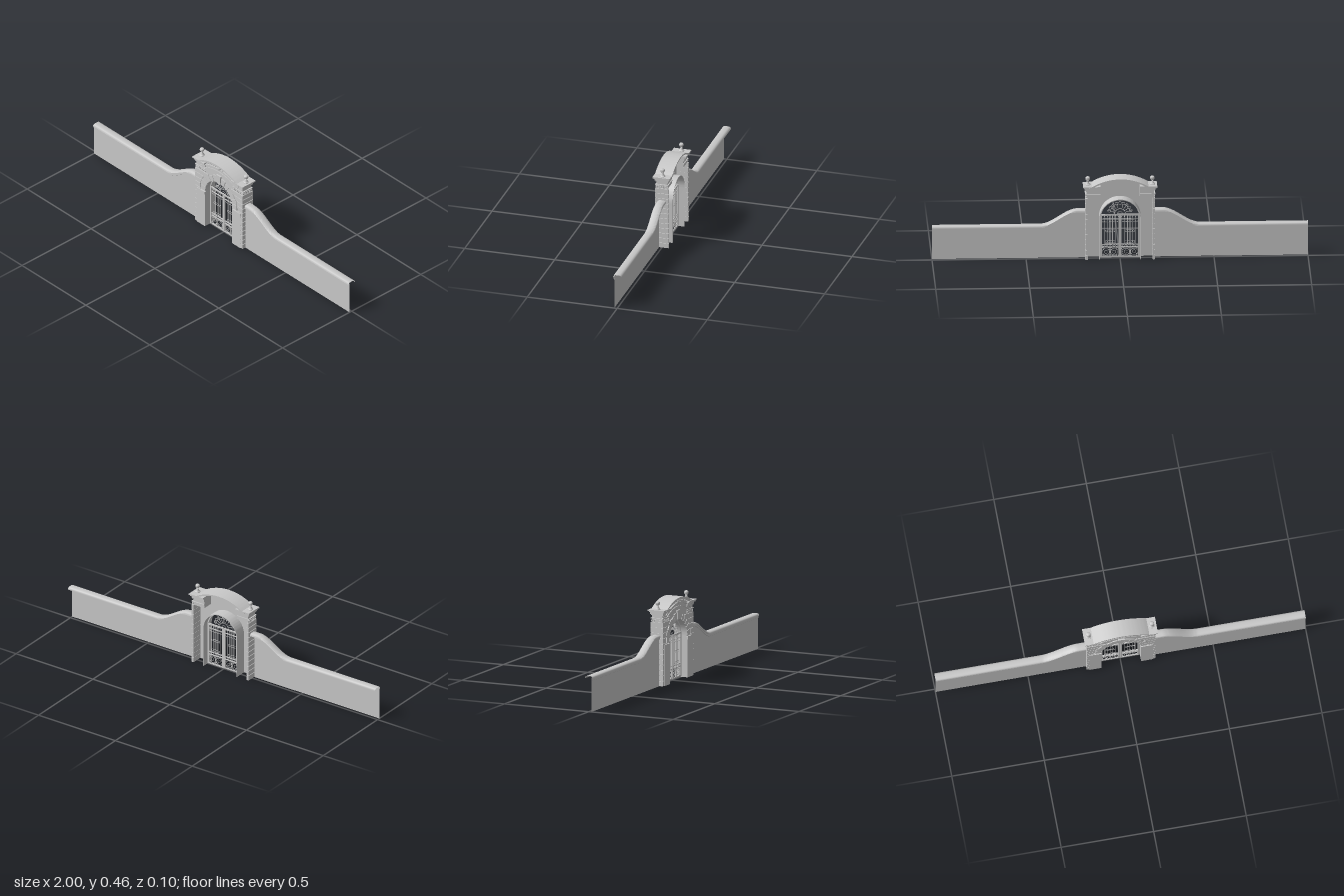
import * as THREE from 'three';
import { toCreasedNormals } from 'three/addons/utils/BufferGeometryUtils.js';

const stone = new THREE.MeshStandardMaterial({ color: 0xc8c8c8, side: THREE.DoubleSide });
stone.name = 'pale grey stone';

const COURSE = 0.345 / 12;          // height of one stone course
const R = 0.107, CY = 0.226;        // gateway arch radius and springing height
const FRONT = 0.037;                // front face of the stonework
const PR = 0.29, PY = 0.453 - PR;   // pediment arc radius and centre height

export function createModel() {
  const model = new THREE.Group();
  model.name = 'walledGateway';
  const group = (name) => {
    const g = new THREE.Group();
    g.name = name;
    model.add(g);
    return g;
  };
  const add = (parent, name, geo) => {
    const m = new THREE.Mesh(geo, stone);
    m.name = name;
    parent.add(m);
    return m;
  };
  // box given by its limits on each axis
  const box = (parent, name, x0, x1, y0, y1, z0, z1) => {
    const m = add(parent, name, new THREE.BoxGeometry(Math.abs(x1 - x0), y1 - y0, z1 - z0));
    m.position.set((x0 + x1) / 2, (y0 + y1) / 2, (z0 + z1) / 2);
    return m;
  };
  // flat outline pushed from z0 to z1
  const slab = (parent, name, shape, z0, z1) => {
    const geo = new THREE.ExtrudeGeometry(shape, { depth: z1 - z0, bevelEnabled: false, curveSegments: 24 });
    geo.translate(0, 0, z0);
    return add(parent, name, toCreasedNormals(geo, 0.5));
  };
  const poly = (pts) => new THREE.Shape(pts.map(([x, y]) => new THREE.Vector2(x, y)));
  // ring sector about (0, cy), angles measured from +x
  const sector = (r0, r1, a0, a1, cy) => {
    const s = new THREE.Shape();
    s.absarc(0, cy, r1, a0, a1, false);
    s.absarc(0, cy, r0, a1, a0, true);
    return s;
  };

  // ---------- garden walls with swept coping ----------
  const copingTop = (x) => {
    const t = THREE.MathUtils.clamp((x - 0.225) / 0.2, 0, 1);
    return 0.277 - 0.084 * t * t * (3 - 2 * t);
  };
  const stations = [0.183];
  for (let i = 0; i <= 24; i++) stations.push(0.225 + 0.2 * i / 24);
  stations.push(1);
  // coping section as [z, drop below the top]
  const section = [[0.016, 0.026], [0.019, 0.024], [0.019, 0.014], [0.023, 0.013], [0.023, 0.008], [0.019, 0.003],
    [0.011, 0], [-0.011, 0], [-0.019, 0.003], [-0.023, 0.008], [-0.023, 0.014]];
  for (const s of [1, -1]) {
    const g = group(s > 0 ? 'leftWall' : 'rightWall');
    const outline = [[s * 0.183, 0], ...stations.map((x) => [s * x, copingTop(x) - 0.006]), [s, 0]];
    add(g, 'wallFace', new THREE.ShapeGeometry(poly(outline))).position.z = 0.016;
    const pos = [], idx = [], n = section.length;
    stations.forEach((x, i) => section.forEach(([z, d], j) => {
      pos.push(s * x, copingTop(x) - d, z);
      if (i && j) {
        const a = (i - 1) * n + j - 1, b = a + n;
        if (s > 0) idx.push(a, b, a + 1, b, b + 1, a + 1);
        else idx.push(a, a + 1, b, b, a + 1, b + 1);
      }
    }));
    const geo = new THREE.BufferGeometry();
    geo.setAttribute('position', new THREE.Float32BufferAttribute(pos, 3));
    geo.setIndex(idx);
    add(g, 'coping', toCreasedNormals(geo, 0.7));
  }

  // ---------- front plate and arch lining, open at the back ----------
  const facade = group('facade');
  const plate = new THREE.Shape();
  plate.moveTo(R, 0);
  plate.lineTo(0.182, 0);
  plate.lineTo(0.182, 0.36);
  plate.lineTo(0.16, 0.395);
  const end = Math.asin(0.155 / PR);
  plate.absarc(0, PY, PR - 0.01, Math.PI / 2 - end, Math.PI / 2 + end, false);
  plate.lineTo(-0.16, 0.395);
  plate.lineTo(-0.182, 0.36);
  plate.lineTo(-0.182, 0);
  plate.lineTo(-R, 0);
  plate.absarc(0, CY, R, Math.PI, 0, true);
  slab(facade, 'frontPlate', plate, 0.028, 0.033);
  const lining = new THREE.Shape();
  lining.moveTo(R, 0);
  lining.lineTo(R + 0.004, 0);
  lining.absarc(0, CY, R + 0.004, 0, Math.PI, false);
  lining.lineTo(-R - 0.004, 0);
  lining.lineTo(-R, 0);
  lining.absarc(0, CY, R, Math.PI, 0, true);
  slab(facade, 'archLining', lining, -FRONT, 0.033);

  // ---------- rusticated piers ----------
  for (const s of [1, -1]) {
    const g = group(s > 0 ? 'leftPier' : 'rightPier');
    box(g, 'sideBacking', s * 0.174, s * 0.182, 0, 0.345, -0.034, 0.033);
    for (let i = 0; i < 12; i++) {
      const y0 = i * COURSE + 0.0015, y1 = (i + 1) * COURSE - 0.0015;
      box(g, 'sideBlock', s * 0.173, s * 0.186, y0, y1, -FRONT, FRONT);
      if (i < 8) {
        box(g, 'quoin', s * (i % 2 ? 0.145 : 0.158), s * 0.186, y0, y1, 0.03, FRONT);
      } else {
        // course cut to the curve of the voussoirs
        const inner = (y) => Math.sqrt(0.149 ** 2 - (y - CY) ** 2);
        slab(g, 'frontBlock', poly([[s * inner(y0), y0], [s * 0.186, y0], [s * 0.186, y1], [s * inner(y1), y1]]), 0.03, FRONT);
      }
    }
    box(g, 'smoothPilaster', s * R, s * 0.171, 0, 0.205, 0.032, 0.04);
    box(g, 'impost', s * R, s * 0.171, 0.205, 0.222, 0.032, 0.041);

    // capital: stacked mouldings with dentils, x reach, y limits, half depth
    for (const [x, y0, y1, z] of [[0.18, 0.345, 0.362, 0.031], [0.187, 0.362, 0.367, 0.035], [0.179, 0.367, 0.382, 0.03],
      [0.183, 0.382, 0.388, 0.034], [0.187, 0.388, 0.398, 0.037], [0.192, 0.398, 0.404, 0.042], [0.197, 0.404, 0.411, 0.047]]) {
      box(g, 'capitalMoulding', s * 0.105, s * x, y0, y1, -z, z + 0.002);
    }
    for (let i = 0; i < 6; i++) {
      const z = -0.03 + i * 0.012, x = 0.112 + i * 0.0125;
      box(g, 'sideDentil', s * 0.178, s * 0.185, 0.348, 0.357, z - 0.004, z + 0.004);
      box(g, 'frontDentil', s * (x - 0.004), s * (x + 0.004), 0.348, 0.357, 0.03, 0.036);
    }

    // ball finial
    const profile = [[0.015, 0], [0.015, 0.003], [0.012, 0.005], [0.007, 0.012], [0.005, 0.02], [0.007, 0.022], [0.005, 0.024]]
      .map(([r, y]) => new THREE.Vector2(r, y));
    for (let i = 1; i <= 10; i++) {
      const a = 0.42 + (Math.PI - 0.42) * i / 10;
      profile.push(new THREE.Vector2(Math.max(0, 0.0125 * Math.sin(a)), 0.0345 - 0.0125 * Math.cos(a)));
    }
    add(g, 'ballFinial', toCreasedNormals(new THREE.LatheGeometry(profile, 20), 0.7)).position.set(s * 0.172, 0.411, 0);
  }

  // ---------- voussoirs and keystone ----------
  const arch = group('archStones');
  const COUNT = 13;
  for (let i = 0; i < COUNT; i++) {
    const a0 = Math.PI * i / COUNT + 0.012, a1 = Math.PI * (i + 1) / COUNT - 0.012;
    const key = i === (COUNT - 1) / 2;
    slab(arch, key ? 'keystone' : 'voussoir', sector(R, key ? 0.157 : i % 2 ? 0.146 : 0.14, a0, a1, CY), 0.03, key ? 0.042 : FRONT + 0.001);
  }

  // ---------- segmental pediment ----------
  const pediment = group('pediment');
  const half = Math.asin(0.165 / PR);
  const arcBand = (name, r0, r1, z0, z1) =>
    slab(pediment, name, sector(r0, r1, Math.PI / 2 - half, Math.PI / 2 + half, PY), z0, z1);
  arcBand('archedRoof', PR - 0.008, PR, -0.047, 0.048);
  arcBand('upperArchMoulding', PR - 0.014, PR - 0.008, 0.028, 0.043);
  arcBand('lowerArchMoulding', PR - 0.034, PR - 0.028, 0.028, 0.04);
  arcBand('innerArchMoulding', PR - 0.052, PR - 0.048, 0.028, 0.037);
  for (let i = -9; i <= 9; i++) {
    if (Math.abs(i) < 2) continue;
    const a = Math.PI / 2 + i * 0.055;
    slab(pediment, 'archDentil', sector(PR - 0.021, PR - 0.014, a - 0.016, a + 0.016, PY), 0.03, 0.039);
  }
  const shield = add(pediment, 'cartouche', new THREE.SphereGeometry(1, 16, 10));
  shield.scale.set(0.012, 0.013, 0.008);
  shield.position.set(0, 0.428, 0.035);
  for (const s of [1, -1]) {
    const scroll = add(pediment, 'cartoucheScroll', new THREE.TorusGeometry(0.007, 0.002, 6, 14));
    scroll.position.set(s * 0.02, 0.426, 0.036);
  }

  // ---------- wrought gate ----------
  const gate = group('gate');
  const rail = (name, x0, x1, y0, y1, d = 0.003) => box(gate, name, x0, x1, y0, y1, -d, d);
  const ring = (x, y, r, arc = Math.PI * 2, turn = 0) => {
    const m = add(gate, 'scroll', new THREE.TorusGeometry(r, 0.0012, 5, 16, arc));
    m.position.set(x, y, 0);
    m.rotation.z = turn;
  };
  for (const s of [1, -1]) {
    rail('meetingStile', s * 0.001, s * 0.009, 0.004, 0.245, 0.004);
    rail('hangingStile', s * 0.096, s * 0.106, 0.004, 0.245, 0.004);
    for (const [y, h] of [[0.004, 0.007], [0.058, 0.005], [0.074, 0.004], [0.215, 0.003], [0.238, 0.007]]) {
      rail('rail', s * 0.002, s * 0.105, y, y + h);
    }
    for (const x of [0.025, 0.04, 0.053, 0.066, 0.081]) rail('bar', s * (x - 0.0015), s * (x + 0.0015), 0.074, 0.24, 0.0015);
    rail('panelBar', s * 0.051, s * 0.055, 0.008, 0.06, 0.002);
    for (const x of [0.031, 0.075]) {
      ring(s * x, 0.034, 0.0185);
      ring(s * x, 0.034, 0.009);
      for (const dx of [-1, 1]) for (const dy of [-1, 1]) ring(s * (x + dx * 0.016), 0.034 + dy * 0.018, 0.005);
    }
    for (let i = 0; i < 6; i++) {
      const x = s * (0.017 + i * 0.0145);
      ring(x, 0.068, 0.005);
      ring(x, 0.228, 0.0085, Math.PI);
      ring(x, 0.206, 0.006, Math.PI, Math.PI);
    }
    for (const x of [0.0325, 0.0465, 0.0595, 0.0735]) {
      ring(s * x, 0.09, 0.006);
      ring(s * x, 0.15, 0.006);
    }
  }
  // fanlight under the arch
  slab(gate, 'fanlightRim', sector(R - 0.006, R, 0.17, Math.PI - 0.17, CY), -0.003, 0.003);
  ring(0, 0.245, 0.028, Math.PI);
  ring(0, 0.245, 0.013, Math.PI);
  for (let i = 1; i < 10; i++) {
    const a = Math.PI * i / 10, reach = i % 2 ? 0.066 : 0.058;
    const spoke = box(gate, 'fanlightSpoke', -0.001, 0.001, -reach / 2 + 0.014, reach / 2 - 0.014, -0.0015, 0.0015);
    spoke.position.set(Math.cos(a) * (reach / 2 + 0.014), 0.245 + Math.sin(a) * (reach / 2 + 0.014), 0);
    spoke.rotation.z = a - Math.PI / 2;
    ring(Math.cos(a) * 0.06, 0.245 + Math.sin(a) * 0.06, 0.008);
  }
  return model;
}
